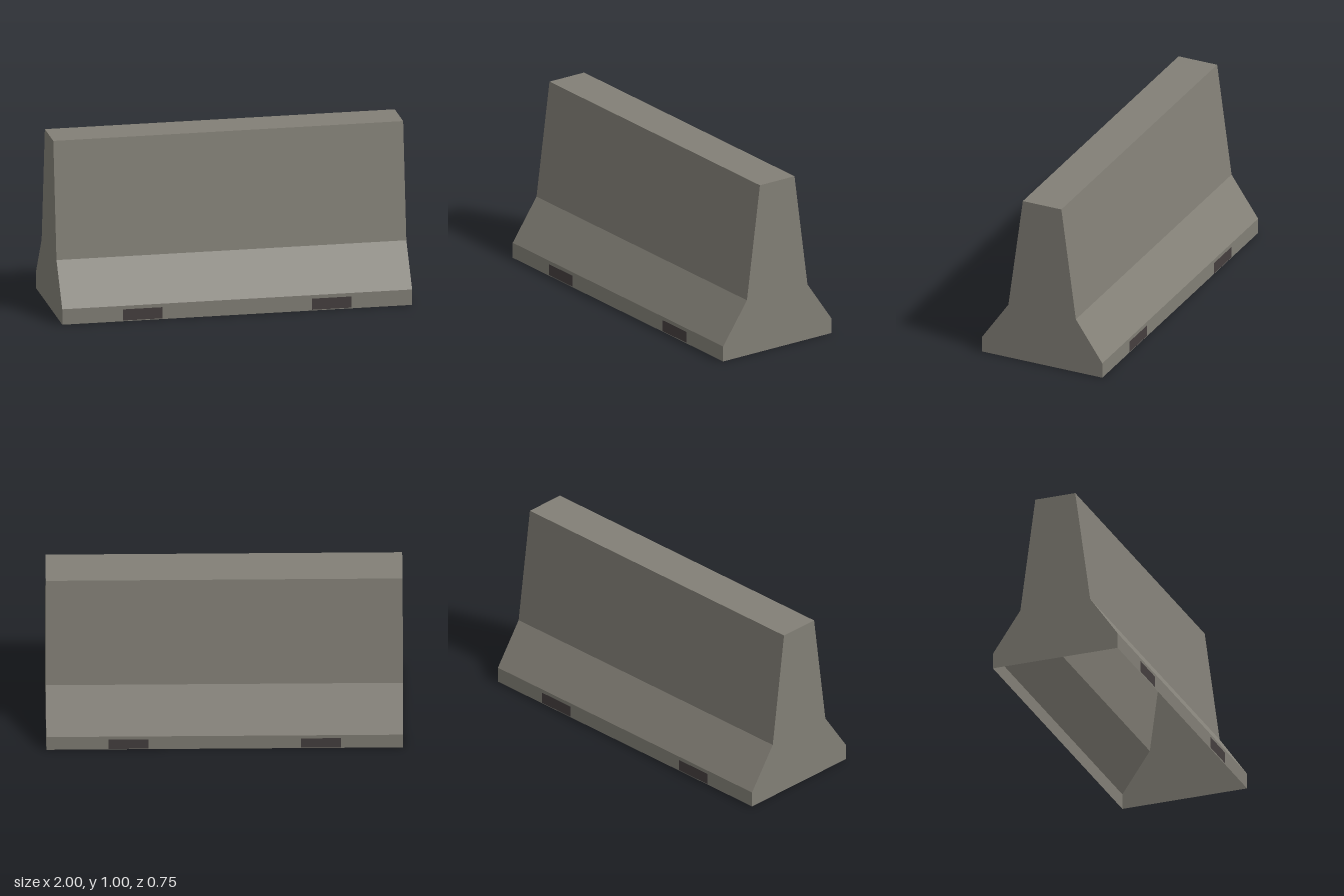
import * as THREE from 'three';

export function createModel() {
  const group = new THREE.Group();
  const concrete = new THREE.MeshStandardMaterial({ color: 0x827f76, side: THREE.DoubleSide });
  concrete.name = 'concrete';
  const dark = new THREE.MeshStandardMaterial({ color: 0x453f3f });
  dark.name = 'dark slot';

  const add = (name, geometry, material) => {
    const mesh = new THREE.Mesh(geometry, material);
    mesh.name = name;
    group.add(mesh);
    return mesh;
  };

  // Cross-section (z, y), from the front foot over the top to the back foot
  const half = [[0.375, 0], [0.375, 0.09], [0.21, 0.33], [0.12, 1]];
  const profile = [...half, ...half.map(([z, y]) => [-z, y]).reverse()];

  // Walls and top: one flat strip per profile segment, open underneath
  const positions = [];
  for (let i = 0; i < profile.length - 1; i++) {
    const [z0, y0] = profile[i];
    const [z1, y1] = profile[i + 1];
    positions.push(-1, y0, z0, 1, y0, z0, 1, y1, z1);
    positions.push(-1, y0, z0, 1, y1, z1, -1, y1, z1);
  }
  const shell = new THREE.BufferGeometry();
  shell.setAttribute('position', new THREE.Float32BufferAttribute(positions, 3));
  shell.computeVertexNormals();
  add('barrierShell', shell, concrete);

  // End walls
  const section = new THREE.Shape(profile.map(([z, y]) => new THREE.Vector2(z, y)));
  for (const side of [1, -1]) {
    const end = add(side > 0 ? 'leftEnd' : 'rightEnd', new THREE.ShapeGeometry(section), concrete);
    end.rotation.y = side * Math.PI / 2;
    end.position.x = side;
  }

  // Lifting slots painted on both feet
  for (const x of [-0.54, 0.54]) {
    for (const face of [1, -1]) {
      const slot = add('liftingSlot', new THREE.PlaneGeometry(0.225, 0.065), dark);
      slot.position.set(x, 0.0375, face * 0.377);
      if (face < 0) slot.rotation.y = Math.PI;
    }
  }

  return group;
}
